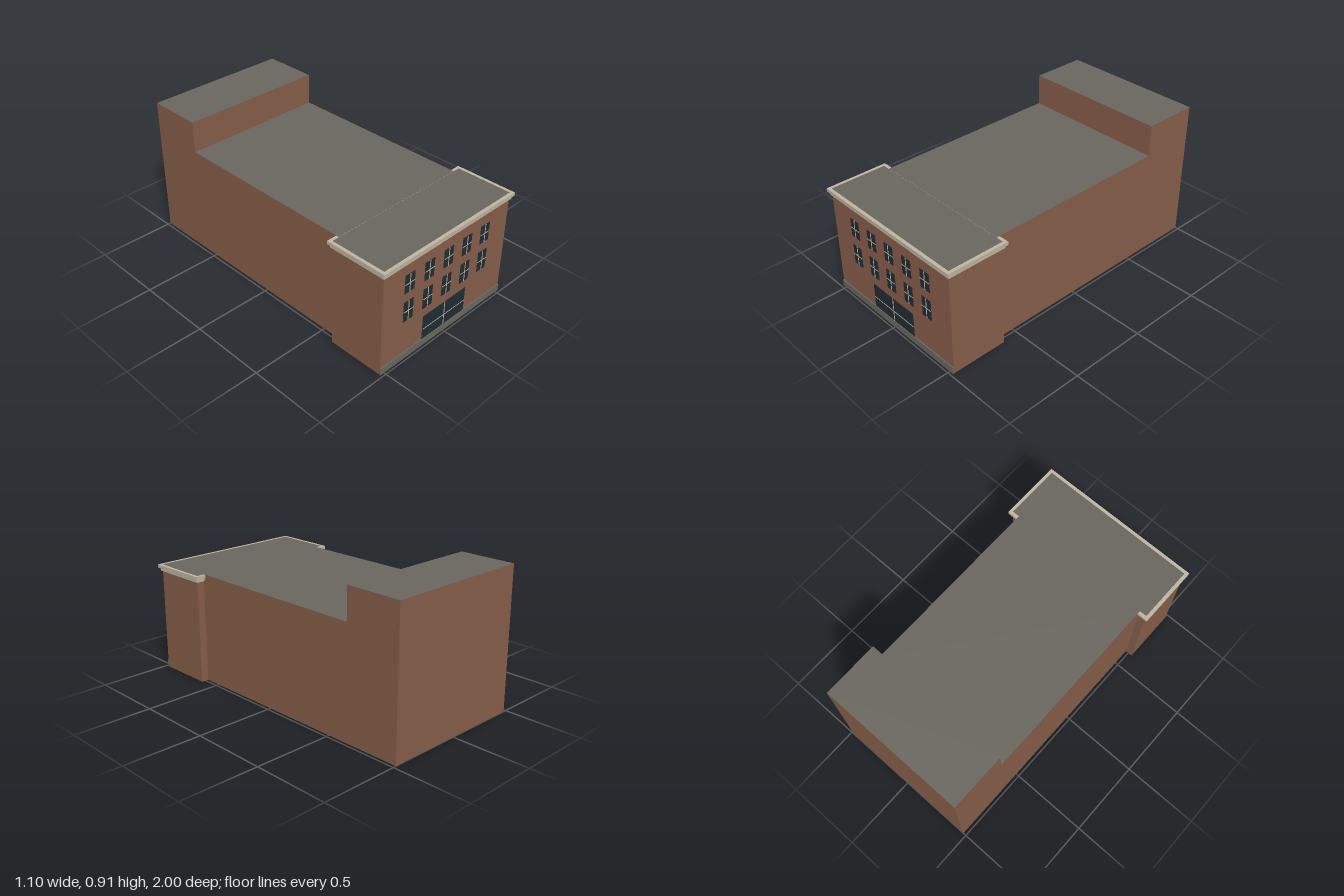
import * as THREE from 'three';

const mat = (name, color) =>
  Object.assign(new THREE.MeshStandardMaterial({ color, side: THREE.DoubleSide }), { name });

export function createModel() {
  const group = new THREE.Group();
  const brick = mat('brick', 0x875e4a);
  const roofing = mat('roofing', 0x69665e);
  const plinthStone = mat('plinth stone', 0x69685f);
  const trim = mat('cream trim', 0xbeb4a0);
  const glass = mat('dark glass', 0x222c35);

  const add = (name, geometry, material, x, y, z, parent = group) => {
    const mesh = new THREE.Mesh(geometry, material);
    mesh.name = name;
    mesh.position.set(x, y, z);
    parent.add(mesh);
    return mesh;
  };

  // Hollow volume, open underneath; sides lists the box faces kept as walls (0 +x, 1 -x, 4 +z, 5 -z)
  const volume = (name, halfWidth, height, zBack, zFront, sides) => {
    const g = new THREE.BoxGeometry(halfWidth * 2, height, zFront - zBack);
    const source = Array.from(g.index.array);
    g.setIndex([...sides, 2].flatMap(f => source.slice(f * 6, f * 6 + 6)));
    g.clearGroups();
    g.addGroup(0, sides.length * 6, 0);
    g.addGroup(sides.length * 6, 6, 1);
    add(name, g, [brick, roofing], 0, height / 2, (zBack + zFront) / 2);
  };
  volume('frontBlock', 0.528, 0.706, 0.61, 0.979, [0, 1, 4, 5]);
  volume('mainHall', 0.48, 0.707, -0.635, 0.61, [0, 1]);
  volume('rearTower', 0.48, 0.911, -1, -0.635, [0, 1, 4, 5]);

  // Stepped cornice: rectangular rings around the front block
  const rect = (Type, w, d) => {
    const p = new Type();
    p.moveTo(-w, -d);
    p.lineTo(w, -d);
    p.lineTo(w, d);
    p.lineTo(-w, d);
    p.closePath();
    return p;
  };
  const cornice = (name, out, y, height) => {
    const shape = rect(THREE.Shape, 0.528 + out, 0.1845 + out);
    shape.holes.push(rect(THREE.Path, 0.528, 0.1845));
    const g = new THREE.ExtrudeGeometry(shape, { depth: height, bevelEnabled: false });
    g.rotateX(-Math.PI / 2);
    add(name, g, trim, 0, y, 0.7945);
  };
  cornice('lowerCornice', 0.01, 0.665, 0.02);
  cornice('upperCornice', 0.021, 0.685, 0.021);

  // Base course along the facade
  add('plinth', new THREE.BoxGeometry(1.056, 0.045, 0.007), plinthStone, 0, 0.0225, 0.9825);

  // Glazed openings with a cross of thin glazing bars
  const opening = (name, x, y0, y1, width, barY) => {
    const unit = new THREE.Group();
    unit.name = name;
    group.add(unit);
    const h = y1 - y0, y = (y0 + y1) / 2;
    add('pane', new THREE.BoxGeometry(width, h, 0.004), glass, x, y, 0.980, unit);
    add('verticalBar', new THREE.BoxGeometry(0.005, h, 0.004), trim, x, y, 0.982, unit);
    add('horizontalBar', new THREE.BoxGeometry(width, 0.004, 0.004), trim, x, barY, 0.982, unit);
  };
  for (let i = -2; i <= 2; i++) {
    opening('upperWindow', i * 0.16, 0.465, 0.587, 0.077, 0.526);
    opening('lowerWindow', i * 0.16, 0.27, 0.404, 0.077, 0.337);
  }
  opening('entrance', 0, 0.045, 0.209, 0.37, 0.117);

  return group;
}
